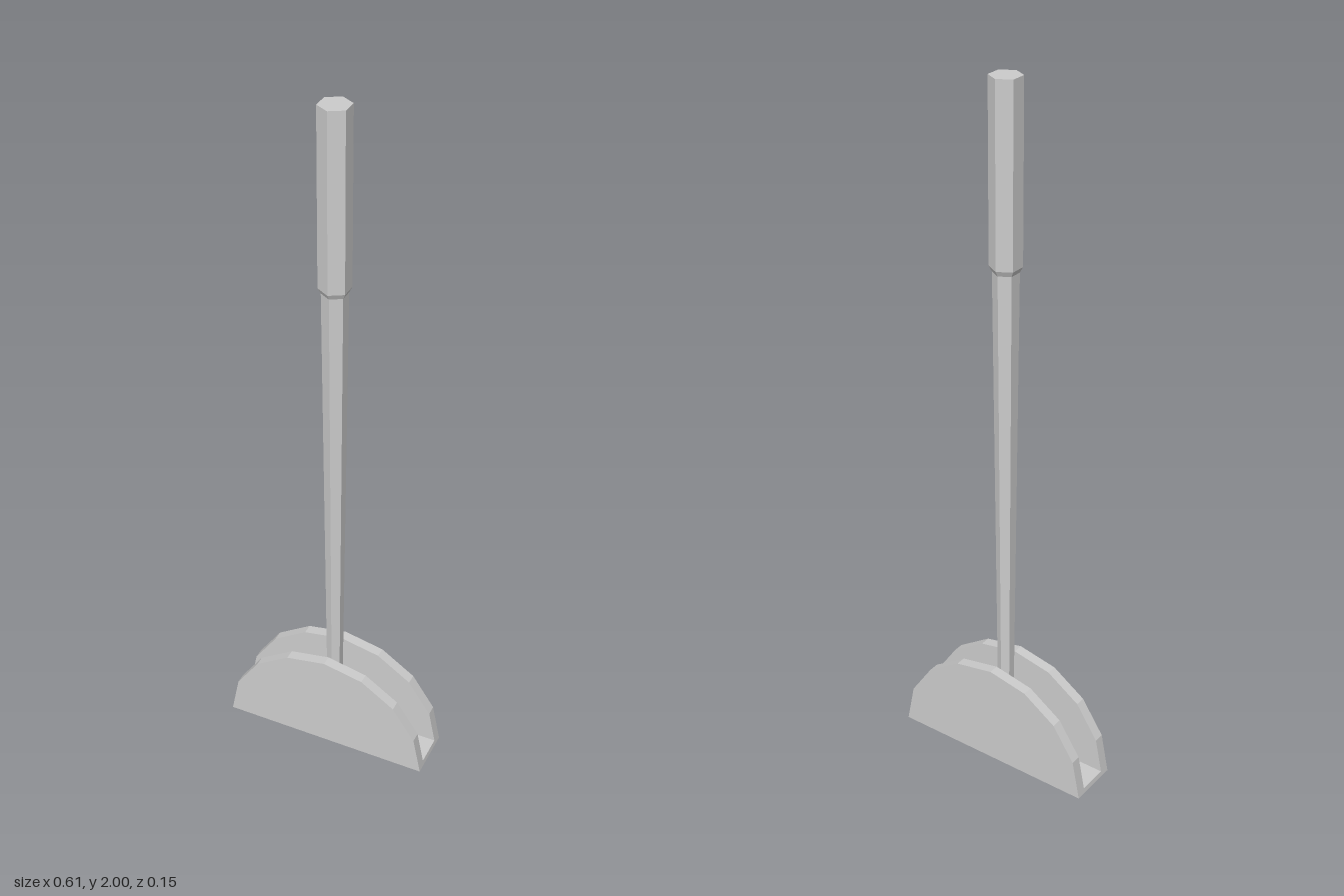
import * as THREE from 'three';

const R = 0.306, HALF_DEPTH = 0.074, GAP = 0.044, FLOOR = 0.015;

export function createModel() {
  const group = new THREE.Group();
  const material = new THREE.MeshStandardMaterial({ color: 0xcccccc, flatShading: true });

  const add = (name, geometry) => {
    const mesh = new THREE.Mesh(geometry, material);
    mesh.name = name;
    group.add(mesh);
    return mesh;
  };

  // Extrude an outline from z0 to z1
  const slab = (points, z0, z1) =>
    new THREE.ExtrudeGeometry(new THREE.Shape(points), { depth: z1 - z0, bevelEnabled: false })
      .translate(0, 0, z0);

  // Two half-disc cheeks of the head
  const arc = [];
  for (let i = 0; i <= 8; i++) {
    const a = (i / 8) * Math.PI;
    arc.push(new THREE.Vector2(R * Math.cos(a), R * Math.sin(a)));
  }
  add('frontPlate', slab(arc, GAP, HALF_DEPTH));
  add('backPlate', slab(arc, -HALF_DEPTH, -GAP));

  // Thin floor joining the cheeks, its ends following their edge slope
  const top = R - FLOOR * Math.tan(Math.PI / 16);
  const floor = [[-R, 0], [R, 0], [top, FLOOR], [-top, FLOOR]].map(p => new THREE.Vector2(...p));
  add('basePlate', slab(floor, -GAP, GAP));

  // Tapered six-sided shaft, corners towards front and back
  const hex = (...profile) =>
    new THREE.LatheGeometry(profile.map(p => new THREE.Vector2(...p)), 6);
  add('shaft', hex([0.021, FLOOR], [0.035, 1.5]));

  // Six-sided grip with a small chamfer at its lower end
  add('grip', hex([0, 1.5], [0.035, 1.5], [0.043, 1.515], [0.043, 2], [0, 2]));

  return group;
}
